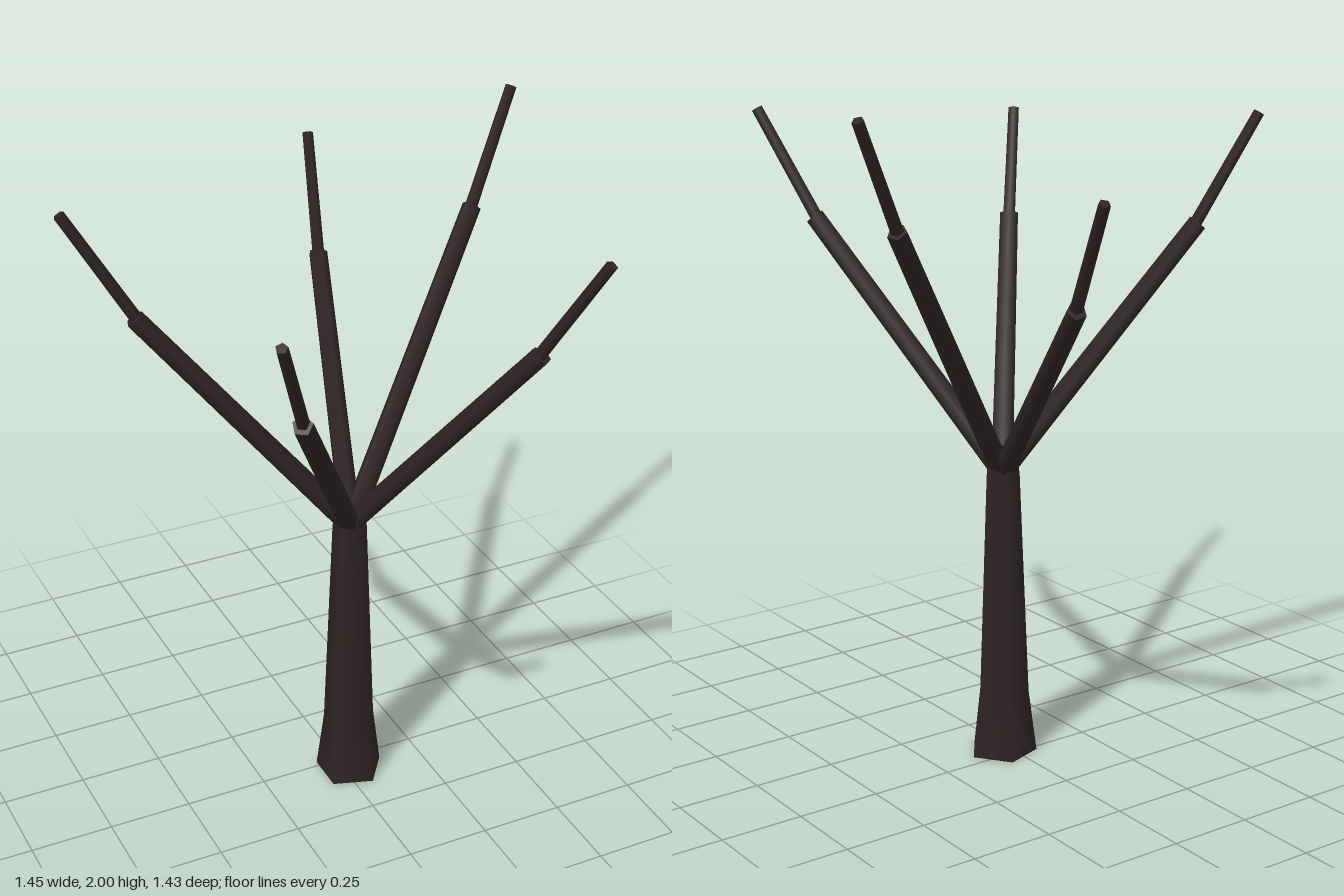
import * as THREE from 'three';

export function createModel() {
  const bark = new THREE.MeshStandardMaterial({ color: 0x2e2324 });
  bark.name = 'dark bark';
  const tree = new THREE.Group();
  tree.name = 'bareTree';
  const V = (x, y, z) => new THREE.Vector3(x, y, z);

  // Five-sided tapered limb from a to b
  function limb(name, a, b, r0, r1) {
    const dir = b.clone().sub(a);
    const mesh = new THREE.Mesh(new THREE.CylinderGeometry(r1, r0, dir.length(), 5), bark);
    mesh.name = name;
    mesh.position.copy(a).add(b).multiplyScalar(0.5);
    mesh.quaternion.setFromUnitVectors(V(0, 1, 0), dir.normalize());
    return mesh;
  }

  // Trunk: flared five-sided column with end caps
  const trunk = new THREE.Group();
  trunk.name = 'trunk';
  trunk.position.set(0.022, 0, 0.043);
  trunk.rotation.y = Math.PI / 2;
  const profile = [[0.104, 0], [0.08, 0.19], [0.053, 0.87], [0.042, 0.95]];
  const column = new THREE.Mesh(
    new THREE.LatheGeometry(profile.map(([r, y]) => new THREE.Vector2(r, y)), 5), bark);
  column.name = 'trunkColumn';
  trunk.add(column);
  for (const [name, r, y, tilt] of [['trunkBase', 0.104, 0, Math.PI / 2], ['trunkTop', 0.042, 0.95, -Math.PI / 2]]) {
    const cap = new THREE.Mesh(new THREE.CircleGeometry(r, 5, Math.PI / 2 * -Math.sign(tilt) * -1), bark);
    if (tilt < 0) cap.geometry = new THREE.CircleGeometry(r, 5, -Math.PI / 2);
    cap.name = name;
    cap.position.y = y;
    cap.rotation.x = tilt;
    trunk.add(cap);
  }
  tree.add(trunk);

  // Branches: [name, end of thick part, end of thin twig]
  const hub = V(0.022, 0.88, 0.04);
  const branches = [
    ['backLeftBranch', V(0.545, 1.68, -0.23), V(0.71, 1.99, -0.315)],
    ['frontLeftBranch', V(0.335, 1.59, 0.54), V(0.427, 1.895, 0.7)],
    ['frontRightBranch', V(-0.345, 1.53, 0.515), V(-0.46, 1.835, 0.65)],
    ['rightBranch', V(-0.54, 1.58, -0.15), V(-0.715, 1.893, -0.208)],
    ['backBranch', V(0.19, 1.48, -0.53), V(0.24, 1.79, -0.705)],
  ];
  for (const [name, joint, tip] of branches) {
    const branch = new THREE.Group();
    branch.name = name;
    const twigStart = joint.clone().lerp(hub, 0.03);
    branch.add(limb('bough', hub, joint, 0.033, 0.029), limb('twig', twigStart, tip, 0.019, 0.017));
    tree.add(branch);
  }
  return tree;
}
